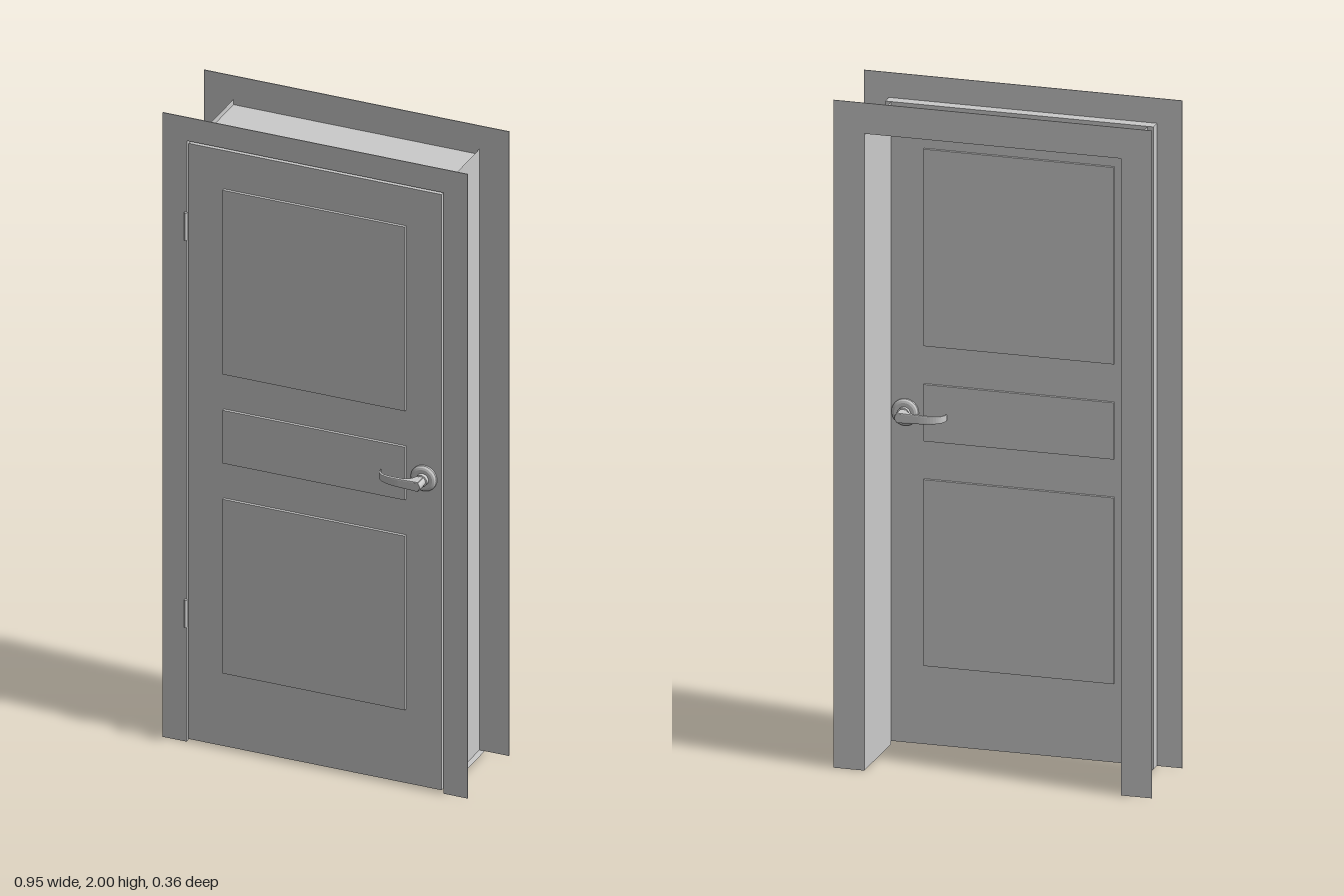
import * as THREE from 'three';

const mat = new THREE.MeshStandardMaterial({ color: 0xcccccc, side: THREE.DoubleSide });

function add(parent, name, geo, x = 0, y = 0, z = 0) {
  const m = new THREE.Mesh(geo, mat);
  m.name = name;
  m.position.set(x, y, z);
  parent.add(m);
  return m;
}

// Upside-down U outline: outer size minus an opening that reaches the floor
function casing(openX, openY) {
  const s = new THREE.Shape([
    [-0.475, 0], [-openX, 0], [-openX, openY], [openX, openY],
    [openX, 0], [0.475, 0], [0.475, 2], [-0.475, 2],
  ].map(p => new THREE.Vector2(...p)));
  return new THREE.ExtrudeGeometry(s, { depth: 0.003, bevelEnabled: false });
}

// Thin rectangular sheet spanned by two edge vectors
function sheet(o, u, v) {
  const g = new THREE.PlaneGeometry(1, 1), p = g.attributes.position;
  for (let i = 0; i < p.count; i++) {
    const a = p.getX(i) + 0.5, b = p.getY(i) + 0.5;
    p.setXYZ(i, ...[0, 1, 2].map(k => o[k] + a * u[k] + b * v[k]));
  }
  g.computeVertexNormals();
  return g;
}

function createFrame() {
  const g = new THREE.Group();
  g.name = 'frame';
  const IN = 0.383, OUT = 0.4, LOW = 1.908, TOP = 1.925;
  const back = -0.178, step = 0.075, front = 0.113;
  add(g, 'frontCasing', casing(OUT, TOP), 0, 0, front - 0.003);
  add(g, 'backCasing', casing(IN, LOW), 0, 0, back - 0.002);
  // Side linings with a rebate that receives the door
  for (const s of [1, -1]) {
    const toFront = [0, 0, s * (front - step)], up = [0, TOP, 0];
    add(g, 'jamb', sheet([s * IN, 0, s > 0 ? back : step], [0, 0, s * (step - back)], up));
    add(g, 'jambStop', sheet([s * IN, 0, step], [s * (OUT - IN), 0, 0], up));
    add(g, 'jambRebate', sheet([s * OUT, 0, s > 0 ? step : front], toFront, up));
    add(g, 'jambFoot', sheet([s * IN, 0, back], [s * (OUT - IN), 0, 0], [0, 0, step - back]));
  }
  // Head lining with the same rebate
  add(g, 'head', sheet([-IN, LOW, back], [2 * IN, 0, 0], [0, 0, step - back]));
  add(g, 'headStop', sheet([-OUT, LOW, step], [2 * OUT, 0, 0], [0, TOP - LOW, 0]));
  add(g, 'headRebate', sheet([-OUT, TOP, step], [2 * OUT, 0, 0], [0, 0, front - step]));
  return g;
}

function createHandle() {
  const g = new THREE.Group();
  g.name = 'handle';
  // Rose, neck and hub turned around the spindle
  const turned = [[0, 0], [0.04, 0], [0.04, 0.006], [0.036, 0.011], [0.03, 0.013], [0.019, 0.013],
    [0.019, 0.025], [0.015, 0.026], [0.015, 0.06], [0.013, 0.063], [0, 0.063]];
  // Repeated points keep the turned edges crisp
  const pts = turned.flatMap(p => [new THREE.Vector2(...p), new THREE.Vector2(p[0], p[1] + 1e-5)]);
  add(g, 'roseAndHub', new THREE.LatheGeometry(pts, 32).rotateX(Math.PI / 2));
  // Curved lever, drawn in plan and thinned towards its tip
  const s = new THREE.Shape();
  s.moveTo(0.008, 0.063);
  s.lineTo(-0.055, 0.063);
  s.bezierCurveTo(-0.095, 0.062, -0.13, 0.055, -0.129, 0.018);
  s.lineTo(-0.126, 0.018);
  s.bezierCurveTo(-0.118, 0.05, -0.095, 0.05, -0.045, 0.052);
  s.quadraticCurveTo(-0.02, 0.05, -0.013, 0.027);
  s.lineTo(0.008, 0.027);
  const geo = new THREE.ExtrudeGeometry(s, {
    depth: 0.018, bevelThickness: 0.003, bevelSize: 0.001, bevelOffset: -0.001, bevelSegments: 2, curveSegments: 12,
  }).translate(0, 0, -0.009).rotateX(Math.PI / 2).scale(1, 1, 1);
  const p = geo.attributes.position;
  for (let i = 0; i < p.count; i++) {
    const t = Math.min(1, Math.max(0, -p.getX(i) / 0.13));
    p.setY(i, p.getY(i) * (1.25 - 0.45 * t));
  }
  geo.computeVertexNormals();
  add(g, 'lever', geo);
  return g;
}

function createDoor() {
  const g = new THREE.Group();
  g.name = 'door';
  const mid = 0.094;
  add(g, 'doorLeaf', new THREE.BoxGeometry(0.788, 1.908, 0.038), 0, 0.964, mid);
  // Raised panels and a handle on both faces
  for (const s of [1, -1]) {
    for (const [lo, hi] of [[0.247, 0.805], [0.92, 1.09], [1.205, 1.795]]) {
      add(g, 'panel', new THREE.BoxGeometry(0.568, hi - lo, 0.01), 0, (lo + hi) / 2, mid + s * 0.023);
    }
    const h = createHandle();
    h.position.set(0.34, 1, mid + s * 0.019);
    h.scale.z = s;
    g.add(h);
  }
  // Hinge knuckles
  for (const y of [0.413, 1.653]) {
    add(g, 'hinge', new THREE.CylinderGeometry(0.005, 0.005, 0.088, 12), -0.401, y, 0.118);
  }
  return g;
}

export function createModel() {
  const model = new THREE.Group();
  model.name = 'doorway';
  model.add(createFrame(), createDoor());
  return model;
}
